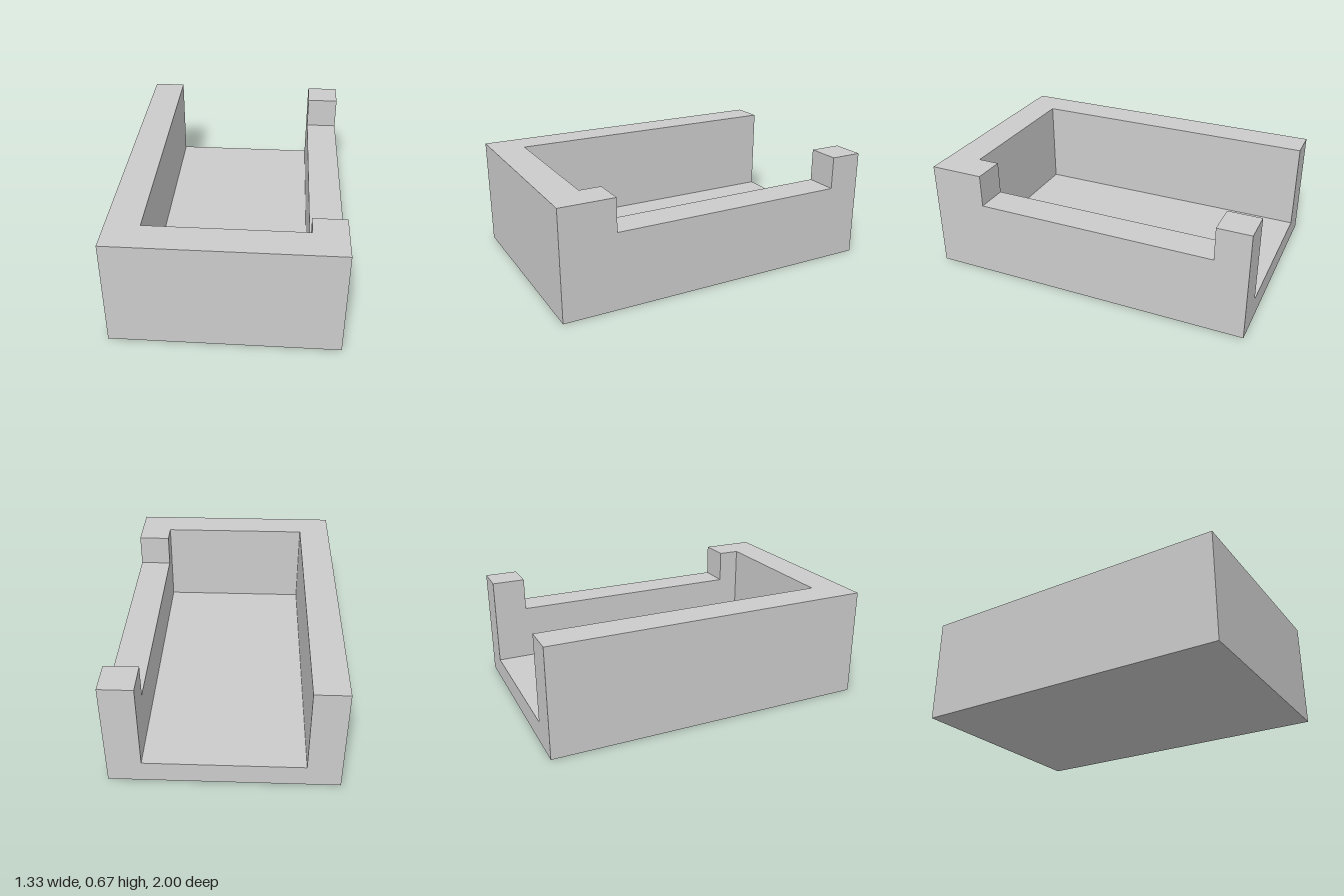
import * as THREE from 'three';

const W = 0.667;      // half width, also the wall height
const WALL = 0.2;     // wall thickness
const FLOOR = 0.133;  // floor thickness
const INNER = W - WALL;

const material = new THREE.MeshStandardMaterial({ color: 0xcccccc, flatShading: true });

function addPart(group, name, geometry) {
  const mesh = new THREE.Mesh(geometry, material);
  mesh.name = name;
  group.add(mesh);
}

// Box given by its lowest and highest corner
function boxBetween([x0, y0, z0], [x1, y1, z1]) {
  return new THREE.BoxGeometry(x1 - x0, y1 - y0, z1 - z0)
    .translate((x0 + x1) / 2, (y0 + y1) / 2, (z0 + z1) / 2);
}

// Side wall from a (z, y) outline, with its outer face at x = W
function notchedWall(outline) {
  const shape = new THREE.Shape(outline.map(([z, y]) => new THREE.Vector2(z, y)));
  return new THREE.ExtrudeGeometry(shape, { depth: WALL, bevelEnabled: false })
    .rotateY(-Math.PI / 2)
    .translate(W, 0, 0);
}

export function createModel() {
  const model = new THREE.Group();
  model.name = 'openTray';

  // Floor, open at the back
  addPart(model, 'floor', boxBetween([-INNER, 0, -1], [INNER, FLOOR, 0.8]));

  // Front wall closes the tray between the side walls
  addPart(model, 'frontWall', boxBetween([-INNER, 0, 0.8], [INNER, W, 1]));

  // Full-height wall on the right
  addPart(model, 'rightWall', boxBetween([-W, 0, -1], [-INNER, W, 1]));

  // Left wall with a long notch in its top edge
  addPart(model, 'leftWall', notchedWall([
    [-1, 0], [1, 0], [1, W], [0.667, W],
    [0.667, 0.467], [-0.8, 0.467], [-0.8, W], [-1, W],
  ]));

  return model;
}
